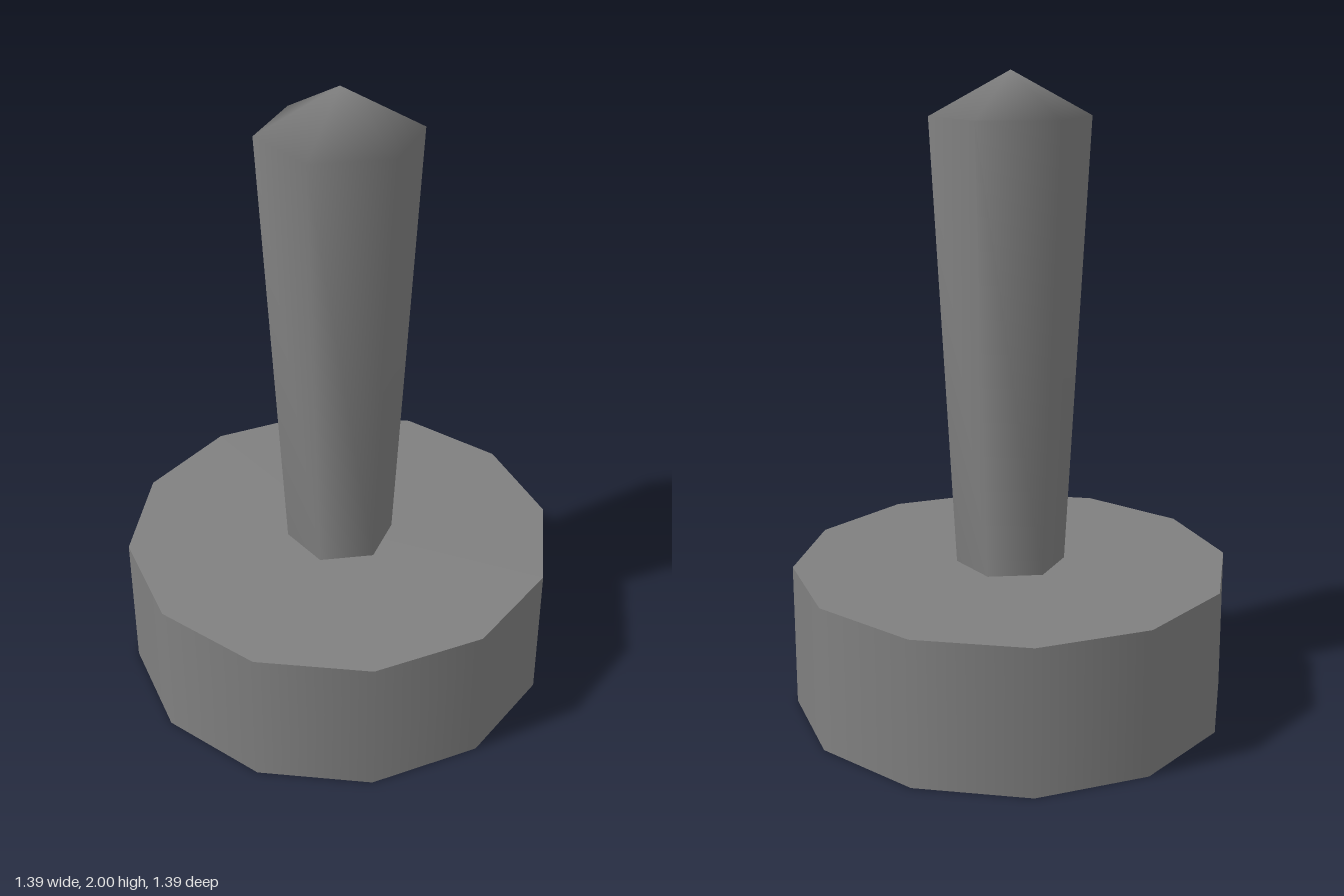
import * as THREE from 'three';
import { mergeVertices } from 'three/addons/utils/BufferGeometryUtils.js';

const BASE_RADIUS = 0.695;
const BASE_HEIGHT = 0.46;

export function createModel() {
  const model = new THREE.Group();
  const grey = new THREE.MeshStandardMaterial({ color: 0x808080, side: THREE.DoubleSide });
  grey.name = 'grey';

  const add = (name, geometry, x, y, z) => {
    const mesh = new THREE.Mesh(geometry, grey);
    mesh.name = name;
    mesh.position.set(x, y, z);
    model.add(mesh);
  };

  // Hollow twelve-sided base, open underneath
  add('baseWall', new THREE.CylinderGeometry(BASE_RADIUS, BASE_RADIUS, BASE_HEIGHT, 12, 1, true),
    0, BASE_HEIGHT / 2, 0);
  add('baseTop', new THREE.CircleGeometry(BASE_RADIUS, 12).rotateX(-Math.PI / 2), 0, BASE_HEIGHT, 0);

  // Six-sided handle, widening upward to a blunt point, smoothed over the shoulder
  const profile = [[0.173, BASE_HEIGHT], [0.247, 1.865], [0, 2]]
    .map(([r, y]) => new THREE.Vector2(r, y));
  let handle = new THREE.LatheGeometry(profile, 6, Math.PI / 2);
  handle.deleteAttribute('normal');
  handle.deleteAttribute('uv');
  handle = mergeVertices(handle, 1e-4);
  handle.computeVertexNormals();
  add('handle', handle, 0, 0, 0.008);

  return model;
}
